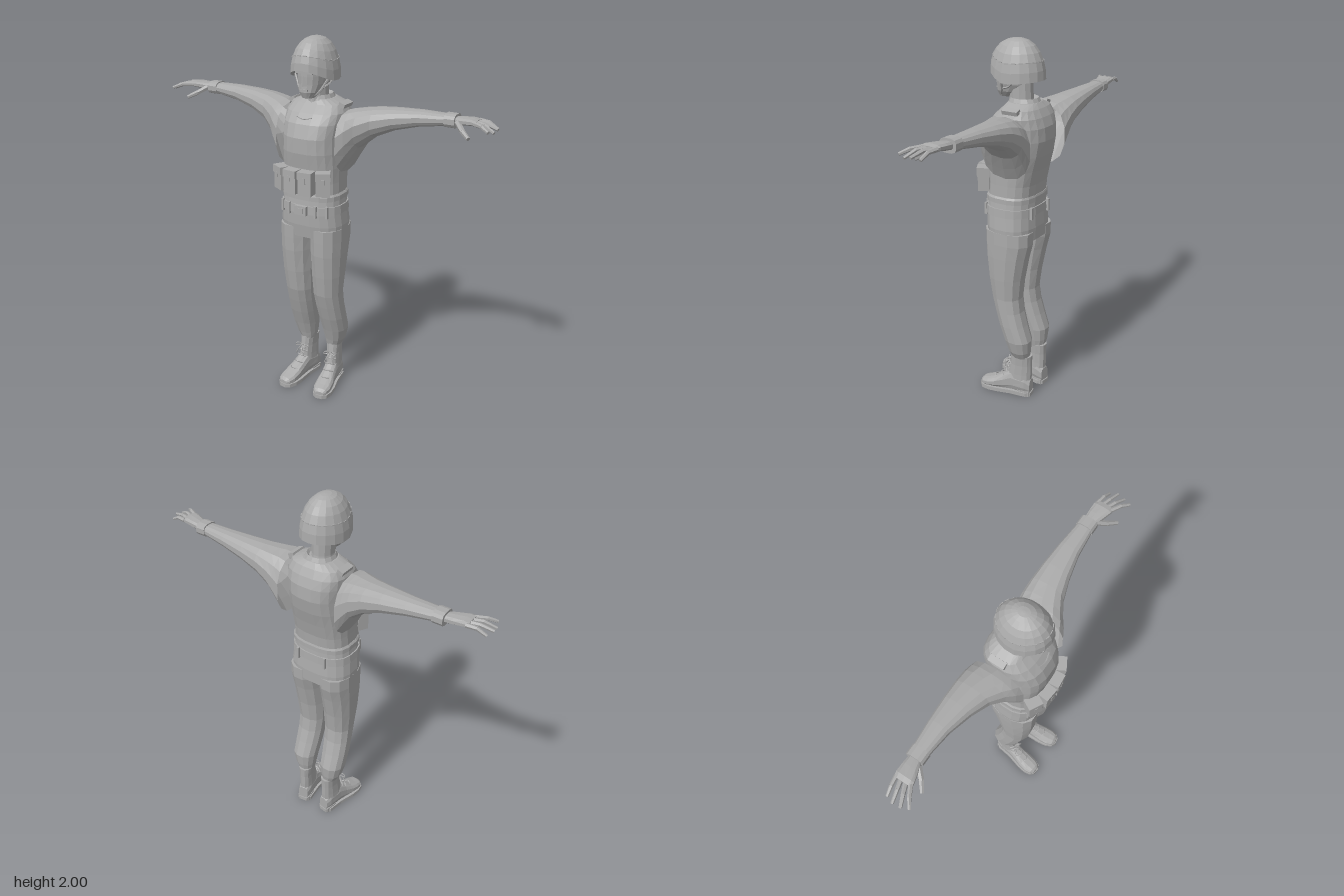
import * as THREE from 'three';

const grey = new THREE.MeshStandardMaterial({ color: 0xaaaaaa, flatShading: true, side: THREE.DoubleSide });
grey.name = 'clayGrey';
const V = (x, y, z) => new THREE.Vector3(x, y, z);

// Rounded cross-section across one axis; p sets how square it is
function section(axis, t, a0, a1, b0, b1, p = 2.4, n = 16) {
  const pts = [];
  for (let i = 0; i < n; i++) {
    const u = ((i + 0.5) / n) * Math.PI * 2, c = Math.cos(u), s = Math.sin(u);
    const a = (a0 + a1) / 2 + ((a1 - a0) / 2) * Math.sign(c) * Math.abs(c) ** (2 / p);
    const b = (b0 + b1) / 2 + ((b1 - b0) / 2) * Math.sign(s) * Math.abs(s) ** (2 / p);
    pts.push(axis === 'y' ? V(a, t, b) : axis === 'x' ? V(t, b, a) : V(a, b, t));
  }
  return pts;
}

// Skin over cross-sections, with outward faces and optional end caps
function loft(rings, caps = true) {
  const n = rings[0].length, pts = rings.flat(), idx = [];
  for (let r = 0; r < rings.length - 1; r++) for (let i = 0; i < n; i++) {
    const a = r * n + i, b = r * n + ((i + 1) % n);
    idx.push(a, b, a + n, b, b + n, a + n);
  }
  if (caps) [0, rings.length - 1].forEach((r, k) => {
    const c = pts.length;
    pts.push(rings[r].reduce((s, q) => s.add(q), V(0, 0, 0)).divideScalar(n));
    for (let i = 0; i < n; i++) {
      const a = r * n + i, b = r * n + ((i + 1) % n);
      idx.push(c, ...(k ? [a, b] : [b, a]));
    }
  });
  const mid = pts.reduce((s, q) => s.add(q), V(0, 0, 0)).divideScalar(pts.length);
  let volume = 0;
  for (let i = 0; i < idx.length; i += 3) {
    const [a, b, c] = [0, 1, 2].map((k) => pts[idx[i + k]].clone().sub(mid));
    volume += a.dot(b.cross(c));
  }
  if (volume < 0) idx.reverse();
  const g = new THREE.BufferGeometry().setFromPoints(pts);
  g.setIndex(idx);
  g.computeVertexNormals();
  return g;
}

// Stack of sections around x = 0: [y, halfWidth, zFront, zBack]
const stack = (rows, p, n, caps) => loft(rows.map(([y, w, f, b]) => section('y', y, -w, w, b, f, p, n)), caps);

function add(parent, name, geometry, pos, rot) {
  const m = new THREE.Mesh(geometry, grey);
  m.name = name;
  if (pos) m.position.set(...pos);
  if (rot) m.rotation.set(...rot);
  parent.add(m);
  return m;
}
const box = (w, h, d) => new THREE.BoxGeometry(w, h, d);
const cord = (pts, r, n = 8) => new THREE.TubeGeometry(new THREE.CatmullRomCurve3(pts.map((q) => V(...q))), n, r, 5);

// Jointed finger with tapering segments
function finger(parent, name, pts, r) {
  pts.slice(1).forEach((q, i) => {
    const a = V(...pts[i]), b = V(...q), d = b.clone().sub(a);
    const m = add(parent, name, new THREE.CylinderGeometry(r * (0.85 - i * 0.2), r * (1 - i * 0.15), d.length() * 1.08, 6));
    m.position.copy(a.add(b).multiplyScalar(0.5));
    m.quaternion.setFromUnitVectors(V(0, 1, 0), d.normalize());
  });
}

// Mirrored copy of every mesh with the face order restored
function mirror(src, parent) {
  src.updateMatrixWorld(true);
  src.traverse((o) => {
    if (!o.isMesh) return;
    const g0 = o.geometry.clone().applyMatrix4(o.matrixWorld).scale(-1, 1, 1);
    const g = g0.index ? g0.toNonIndexed() : g0, p = g.attributes.position;
    for (let i = 0; i < p.count; i += 3) {
      const a = V().fromBufferAttribute(p, i), c = V().fromBufferAttribute(p, i + 2);
      p.setXYZ(i, c.x, c.y, c.z);
      p.setXYZ(i + 2, a.x, a.y, a.z);
    }
    g.computeVertexNormals();
    add(parent, o.name, g);
  });
}

// Helmet surface: u around, t from rim (0) to crown (1)
function helmetPoint(u, t, grow = 0) {
  const s = Math.sin(u), f = Math.max(s, 0), b = Math.max(-s, 0);
  const rim = 1.79 + 0.06 * f ** 1.5 + 0.015 * b;
  const e = (t * Math.PI) / 2, k = Math.cos(e) ** 0.85 + grow;
  return V(Math.cos(u) * 0.123 * k, rim + (2 - rim) * Math.sin(e), -0.005 + s * 0.15 * k);
}

function buildHead(g) {
  add(g, 'head', stack([[1.7, 0.032, 0.1, 0.03], [1.73, 0.055, 0.112, -0.03], [1.77, 0.068, 0.11, -0.075],
    [1.81, 0.073, 0.112, -0.092], [1.86, 0.076, 0.112, -0.097], [1.93, 0.055, 0.08, -0.07]], 2.3));
  add(g, 'neck', stack([[1.62, 0.065, 0.04, -0.105], [1.7, 0.056, 0.04, -0.092], [1.79, 0.056, 0.04, -0.09]], 2, 12));
  add(g, 'nose', new THREE.ConeGeometry(0.02, 0.055, 4), [0, 1.793, 0.113], [0.12, 0, 0]);
  add(g, 'mouth', box(0.04, 0.008, 0.008), [0, 1.742, 0.111]);
  add(g, 'brow', box(0.1, 0.012, 0.012), [0, 1.832, 0.108]);
  const rings = [-0.02, 0.14, 0.3, 0.46, 0.62, 0.78, 0.9, 0.985].map((t) =>
    Array.from({ length: 18 }, (_, i) => helmetPoint(((i + 0.5) / 18) * Math.PI * 2, t)));
  const inner = rings[0].map((q) => V(q.x * 0.9, q.y + 0.01, q.z * 0.9));
  add(g, 'helmet', loft([inner, ...rings]));
  for (let i = 0; i < 22; i++) {
    const u = (i / 22) * Math.PI * 2, q = helmetPoint(u, 0.3, 0.0);
    add(g, 'helmetStitch', box(0.022, 0.005, 0.004), q.toArray(), [0, Math.atan2(q.x / 0.015, q.z / 0.0225), 0]);
  }
}

function buildTorso(g) {
  add(g, 'vest', stack([[1.19, 0.163, 0.132, -0.136], [1.26, 0.162, 0.13, -0.142], [1.34, 0.163, 0.14, -0.16],
    [1.42, 0.16, 0.153, -0.182], [1.5, 0.157, 0.153, -0.196], [1.57, 0.163, 0.13, -0.192],
    [1.62, 0.164, 0.09, -0.175], [1.66, 0.145, 0.045, -0.152], [1.685, 0.085, 0.03, -0.13]], 2.7, 20));
  add(g, 'vestHem', stack([[1.165, 0.172, 0.137, -0.142], [1.19, 0.172, 0.137, -0.142], [1.2, 0.165, 0.134, -0.139]], 2.7, 20));
  add(g, 'collar', stack([[1.64, 0.09, 0.045, -0.135], [1.68, 0.082, 0.038, -0.132], [1.705, 0.07, 0.03, -0.118],
    [1.69, 0.06, 0.025, -0.105]], 2.2, 14, false));
  add(g, 'neckSeam', cord([[-0.045, 1.605, 0.108], [0, 1.596, 0.118], [0.045, 1.605, 0.108]], 0.003));
  // Ammunition pouches
  for (const s of [-1, 1]) [[0.042, 0.158, 0.1], [0.123, 0.13, 0.5]].forEach(([x, z, turn]) => {
    const p = new THREE.Group();
    p.name = 'pouch';
    p.position.set(s * x, 1.272, z);
    p.rotation.y = s * turn;
    add(p, 'pouchBody', box(0.074, 0.124, 0.06));
    add(p, 'pouchFlap', box(0.079, 0.04, 0.068), [0, 0.045, 0.002]);
    add(p, 'pouchTab', box(0.016, 0.03, 0.006), [0, 0.02, 0.035]);
    g.add(p);
  });
}

function buildHips(g) {
  add(g, 'trouserTop', stack([[1.17, 0.165, 0.13, -0.134], [1.1, 0.174, 0.136, -0.138], [1.02, 0.183, 0.132, -0.145],
    [0.95, 0.181, 0.122, -0.143]], 2.6, 20));
  add(g, 'belt', stack([[1.09, 0.179, 0.142, -0.144], [1.135, 0.176, 0.14, -0.142]], 2.6, 20));
  add(g, 'buckle', box(0.07, 0.05, 0.02), [0, 1.112, 0.148]);
  add(g, 'buckleInset', box(0.036, 0.028, 0.01), [0, 1.112, 0.157]);
  for (const s of [-1, 1]) [[0.08, 0.136], [0.135, 0.11], [0.085, -0.141]].forEach(([x, z]) =>
    add(g, 'beltLoop', box(0.014, 0.065, 0.014), [s * x, 1.11, z]));
}

function buildLimbs(g) {
  // Wide open sleeve: [x, yBottom, yTop, zBack, zFront]
  const sleeve = [[0.175, 1.31, 1.635, -0.187, 0.11], [0.21, 1.375, 1.645, -0.187, 0.09], [0.25, 1.445, 1.65, -0.186, 0.058],
    [0.32, 1.505, 1.658, -0.182, 0.015], [0.42, 1.55, 1.664, -0.175, -0.018], [0.55, 1.585, 1.668, -0.163, -0.047],
    [0.69, 1.608, 1.667, -0.148, -0.06]];
  add(g, 'sleeve', loft(sleeve.map(([x, b, t, k, f]) => section('x', x, k, f, b, t, 2.4, 14)), false));
  add(g, 'cuff', loft([0.685, 0.74].map((x) => section('x', x, -0.152, -0.056, 1.603, 1.673, 2.8, 12))));
  add(g, 'shoulderTab', box(0.035, 0.022, 0.09), [0.148, 1.658, -0.055], [0, 0, -0.35]);
  // Hand
  add(g, 'palm', loft([[0.73, 1.618, 1.66, -0.135, -0.07], [0.78, 1.625, 1.665, -0.138, -0.052],
    [0.83, 1.635, 1.668, -0.138, -0.035], [0.855, 1.637, 1.662, -0.132, -0.035]]
    .map(([x, b, t, k, f]) => section('x', x, k, f, b, t, 2.6, 10))));
  for (let i = 0; i < 4; i++) {
    const z = -0.046 - i * 0.026, tip = [0.01, -0.03, -0.07, -0.11][i], m = (z + tip) / 2;
    const reach = [0.935, 0.95, 0.955, 0.94][i];
    finger(g, 'finger', [[0.845, 1.65, z], [0.895, 1.648, m], [reach, 1.632 - 0.008 * (i % 2), tip]], 0.0125);
  }
  finger(g, 'thumb', [[0.755, 1.637, -0.07], [0.795, 1.61, -0.03], [0.838, 1.587, 0.002]], 0.016);
  // Trouser leg: [y, xInner, xOuter, zFront, zBack]
  const leg = [[1.0, 0, 0.184, 0.128, -0.145], [0.93, 0, 0.184, 0.126, -0.143], [0.85, 0.002, 0.182, 0.122, -0.122],
    [0.72, 0.005, 0.176, 0.107, -0.095], [0.6, 0.009, 0.166, 0.088, -0.08], [0.52, 0.013, 0.167, 0.065, -0.09],
    [0.44, 0.018, 0.168, 0.04, -0.113], [0.35, 0.025, 0.165, 0.008, -0.144], [0.28, 0.034, 0.148, -0.015, -0.138],
    [0.24, 0.042, 0.126, -0.026, -0.13]];
  add(g, 'trouserLeg', loft(leg.map(([y, a, b, f, k]) => section('y', y, a, b, k, f, 2.3, 12))));
  buildBoot(g);
}

function buildBoot(g) {
  const boot = new THREE.Group();
  boot.name = 'boot';
  boot.position.x = 0.096;
  boot.rotation.y = 0.15;
  g.add(boot);
  add(boot, 'bootShaft', stack([[0.06, 0.04, 0.0, -0.14], [0.13, 0.037, -0.004, -0.143], [0.19, 0.037, -0.016, -0.143],
    [0.25, 0.041, -0.024, -0.145]], 2.4, 12));
  const foot = [[-0.142, 0.03, 0.1], [-0.11, 0.039, 0.13], [-0.03, 0.04, 0.145], [0.02, 0.043, 0.112], [0.07, 0.05, 0.084],
    [0.115, 0.05, 0.066], [0.147, 0.04, 0.056], [0.162, 0.024, 0.042]];
  add(boot, 'bootFoot', loft(foot.map(([z, w, t]) => section('z', z, -w, w, 0.01, t, 2.5, 12))));
  // Sole outline from heel to toe
  const edge = [[0.025, -0.147], [0.042, -0.12], [0.042, -0.03], [0.054, 0.06], [0.054, 0.11], [0.042, 0.15], [0.018, 0.167]];
  const outline = [...edge, ...edge.map(([x, z]) => [-x, z]).reverse()].map(([x, z]) => new THREE.Vector2(x, -z));
  const sole = new THREE.ExtrudeGeometry(new THREE.Shape(outline), { depth: 0.022, bevelEnabled: false });
  add(boot, 'sole', sole.rotateX(-Math.PI / 2));
  add(boot, 'heel', box(0.07, 0.03, 0.07), [0, 0.015, -0.105]);
  // Laces up the tongue
  [[0.085, 0.075], [0.11, 0.036], [0.14, 0.008], [0.17, -0.003], [0.2, -0.012]].forEach(([y, z]) =>
    add(boot, 'lace', cord([[-0.03, y - 0.008, z - 0.016], [0, y + 0.003, z + 0.003], [0.03, y - 0.008, z - 0.016]], 0.004)));
  for (const s of [-1, 1]) {
    add(boot, 'laceLoop', cord([[0, 0.2, -0.012], [s * 0.022, 0.215, 0.002], [s * 0.036, 0.195, 0.006], [0, 0.2, -0.01]], 0.003, 10));
    add(boot, 'laceEnd', cord([[0, 0.2, -0.012], [s * 0.015, 0.175, 0.012], [s * 0.028, 0.145, 0.012]], 0.003, 6));
  }
}

export function createModel() {
  const model = new THREE.Group();
  model.name = 'soldier';
  buildHead(model);
  buildTorso(model);
  buildHips(model);
  const left = new THREE.Group(), right = new THREE.Group();
  left.name = 'leftSide';
  right.name = 'rightSide';
  buildLimbs(left);
  add(left, 'chinStrap', cord([[0.105, 1.815, 0.03], [0.078, 1.765, 0.045], [0.055, 1.728, 0.06], [0, 1.698, 0.09]], 0.006));
  add(left, 'rearStrap', cord([[0.1, 1.805, -0.04], [0.08, 1.765, 0.0], [0.07, 1.75, 0.045]], 0.005));
  add(left, 'ear', new THREE.SphereGeometry(0.022, 8, 6).scale(0.5, 1.2, 0.8), [0.076, 1.795, -0.005]);
  mirror(left, right);
  model.add(left, right);
  return model;
}
